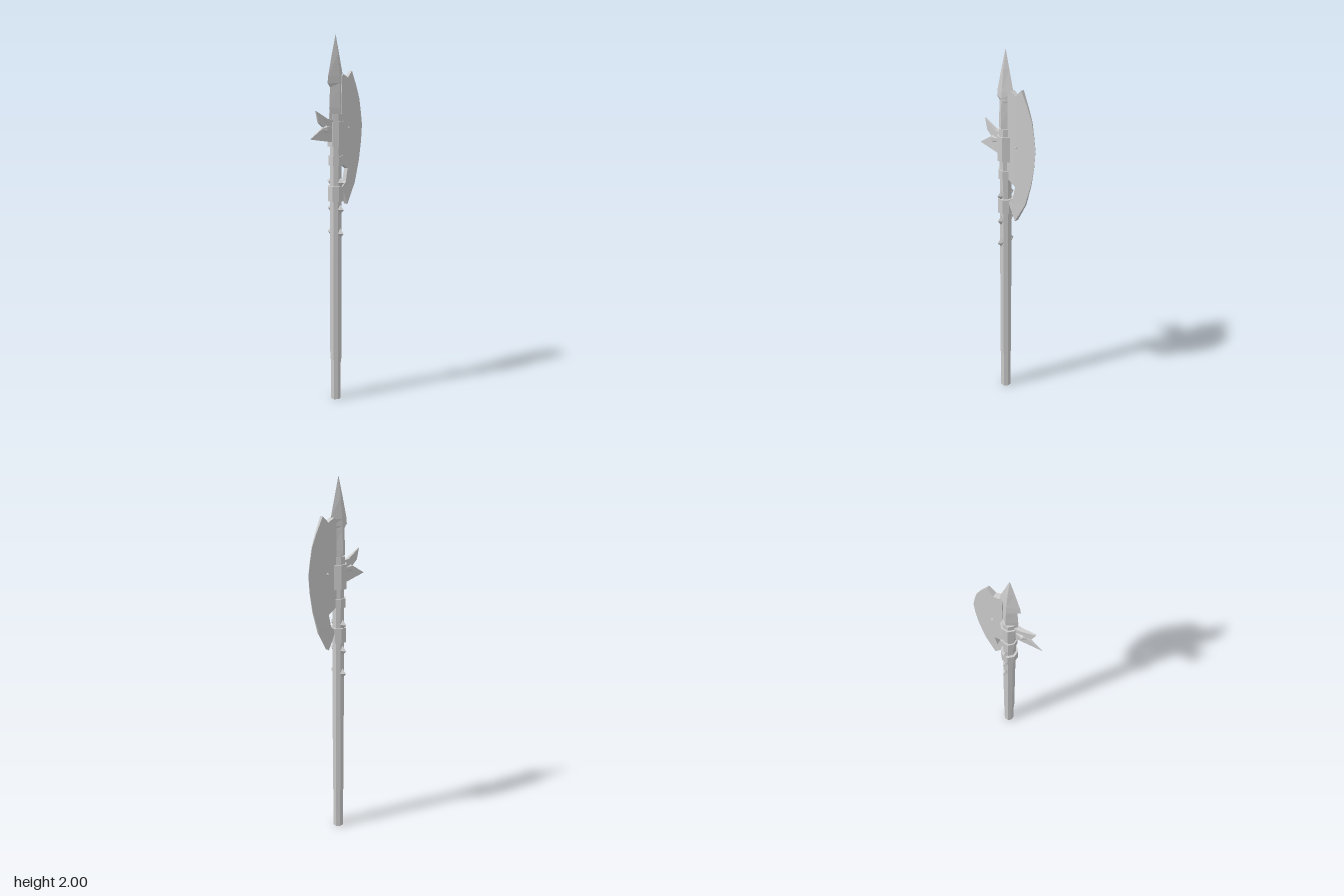
import * as THREE from 'three';

const Z0 = 0.01; // shaft axis
const mat = new THREE.MeshStandardMaterial({ color: 0xcccccc, flatShading: true, side: THREE.DoubleSide });

function add(group, name, geometry, x = 0, y = 0, z = 0) {
  const mesh = new THREE.Mesh(geometry, mat);
  mesh.name = name;
  mesh.position.set(x, y, z);
  group.add(mesh);
  return mesh;
}

// Upright eight-sided drum between two heights
function drum(group, name, y0, y1, r) {
  const geo = new THREE.CylinderGeometry(r, r, y1 - y0, 8);
  geo.rotateY(Math.PI / 8);
  add(group, name, geo, 0, (y0 + y1) / 2, Z0);
}

// Plate outlined by [z, y] points, thinning linearly to an edge at zEdge
function taperedPlate(outline, zRoot, zEdge, half) {
  const shape = new THREE.Shape(outline.map(([z, y]) => new THREE.Vector2(z, y)));
  const geo = new THREE.ExtrudeGeometry(shape, { depth: 2, bevelEnabled: false });
  const p = geo.attributes.position;
  for (let i = 0; i < p.count; i++) {
    const z = p.getX(i), y = p.getY(i), side = 1 - p.getZ(i);
    const t = THREE.MathUtils.clamp((z - zEdge) / (zRoot - zEdge), 0.04, 1);
    p.setXYZ(i, side * half * t, y, z);
  }
  geo.computeVertexNormals();
  return geo;
}

// Diamond-section loft; each row is [y, half width, front z, back z]
function diamondLoft(rows) {
  const pos = [], index = [];
  for (const [y, w, f, b] of rows) pos.push(0, y, f, w, y, Z0, 0, y, b, -w, y, Z0);
  for (let r = 0; r < rows.length - 1; r++) {
    for (let k = 0; k < 4; k++) {
      const a = r * 4 + k, b = r * 4 + (k + 1) % 4;
      index.push(a, b, b + 4, a, b + 4, a + 4);
    }
  }
  index.push(0, 2, 1, 0, 3, 2);
  const geo = new THREE.BufferGeometry();
  geo.setAttribute('position', new THREE.Float32BufferAttribute(pos, 3));
  geo.setIndex(index);
  geo.computeVertexNormals();
  return geo;
}

export function createModel() {
  const g = new THREE.Group();
  g.name = 'halberd';

  // Shaft with a slightly slimmer foot
  drum(g, 'shaftFoot', 0, 0.25, 0.03);
  drum(g, 'shaft', 0.24, 1.57, 0.033);

  // Collars
  drum(g, 'lowerCollar', 1.14, 1.22, 0.045);
  drum(g, 'middleCollar', 1.33, 1.38, 0.04);
  drum(g, 'headCollar', 1.43, 1.56, 0.045);
  drum(g, 'headRing', 1.555, 1.6, 0.037);

  // Pointed studs on both sides of the shaft
  for (const y of [0.965, 1.095, 1.24]) {
    for (const s of [-1, 1]) {
      const stud = add(g, 'shaftStud', new THREE.OctahedronGeometry(1), s * 0.034, y, Z0);
      stud.scale.set(0.025, 0.026, 0.016);
    }
  }

  // Spear point
  add(g, 'spearPoint', diamondLoft([
    [1.55, 0.031, 0.055, -0.033],
    [1.63, 0.033, 0.058, -0.033],
    [1.735, 0.03, 0.052, -0.033],
    [1.755, 0.029, 0.07, -0.04],
    [1.79, 0.027, 0.066, -0.045],
    [1.9, 0.016, 0.038, -0.016],
    [1.995, 0.0005, Z0 + 0.001, Z0 - 0.001],
  ]));

  // Axe blade
  add(g, 'axeBlade', taperedPlate([
    [-0.02, 1.79], [-0.035, 1.8], [-0.07, 1.78], [-0.105, 1.815], [-0.145, 1.735],
    [-0.172, 1.67], [-0.186, 1.6], [-0.197, 1.53], [-0.19, 1.44], [-0.172, 1.34],
    [-0.135, 1.22], [-0.07, 1.11], [-0.024, 1.21], [-0.055, 1.235], [-0.07, 1.305],
    [-0.015, 1.34],
  ], -0.03, -0.197, 0.016));

  // Forked rear-hook spikes
  add(g, 'forkedSpike', taperedPlate([
    [0.02, 1.57], [0.075, 1.575], [0.157, 1.62], [0.14, 1.56], [0.105, 1.535],
    [0.198, 1.48], [0.02, 1.45],
  ], 0.03, 0.198, 0.014));

  // Boss where the spikes meet: flared, then pointed
  const boss = new THREE.LatheGeometry(
    [[0, 0.04], [0.013, 0.045], [0.024, 0.093], [0, 0.122]].map(([r, h]) => new THREE.Vector2(r, h)), 6);
  boss.rotateX(Math.PI / 2);
  add(g, 'spikeBoss', boss, 0, 1.525, 0);

  // Small stud through the blade
  const bladeStud = add(g, 'bladeStud', new THREE.OctahedronGeometry(1), 0, 1.522, -0.077);
  bladeStud.scale.set(0.023, 0.014, 0.014);

  return g;
}
